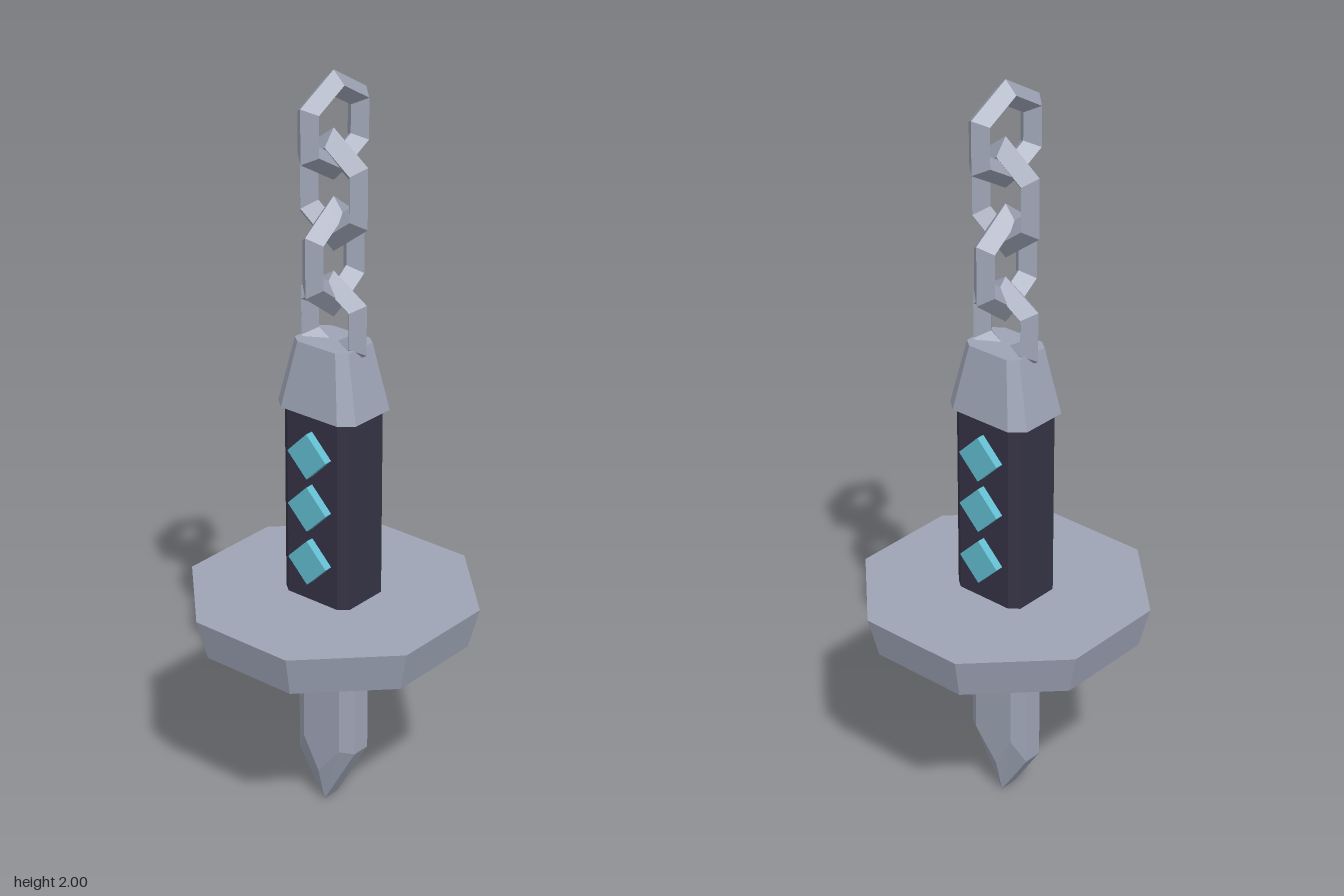
import * as THREE from 'three';

const steel = new THREE.MeshStandardMaterial({ color: 0x9ea4b6 });
steel.name = 'steel';
const grip = new THREE.MeshStandardMaterial({ color: 0x353345 });
grip.name = 'dark grip';
const gemBlue = new THREE.MeshStandardMaterial({ color: 0x62bdd0 });
gemBlue.name = 'turquoise gem';

// Faceted normals for the low-poly look
function faceted(geometry) {
  const g = geometry.index ? geometry.toNonIndexed() : geometry;
  g.computeVertexNormals();
  return g;
}

// Closed solid through convex counter-clockwise rings [z, [[x, y], ...]], stacked along +z
function loft(rings) {
  const n = rings[0][1].length;
  const position = rings.flatMap(([z, pts]) => pts.flatMap(([x, y]) => [x, y, z]));
  const index = [];
  for (let r = 0; r < rings.length - 1; r++) {
    for (let i = 0; i < n; i++) {
      const a = r * n + i, b = r * n + (i + 1) % n;
      index.push(a, b, b + n, a, b + n, a + n);
    }
  }
  const last = (rings.length - 1) * n;
  for (let i = 1; i < n - 1; i++) {
    index.push(0, i + 1, i, last, last + i, last + i + 1);
  }
  const g = new THREE.BufferGeometry();
  g.setAttribute('position', new THREE.Float32BufferAttribute(position, 3));
  g.setIndex(index);
  return g;
}

// Rectangle with cut corners, half sizes w and d, cuts cx and cy
const cutRect = (w, d, cx, cy) => [
  [w, -d + cy], [w, d - cy], [w - cx, d], [-w + cx, d],
  [-w, d - cy], [-w, -d + cy], [-w + cx, -d], [w - cx, -d],
];

export function createModel() {
  const model = new THREE.Group();
  model.name = 'dagger';

  function add(name, geometry, material, x = 0, y = 0, z = 0) {
    const mesh = new THREE.Mesh(faceted(geometry), material);
    mesh.name = name;
    mesh.position.set(x, y, z);
    model.add(mesh);
    return mesh;
  }

  // Blade: flat faces with bevelled edges and a slightly off-centre tip
  const edge = [[-0.01, 0], [0.093, 0.18], [0.093, 0.53], [-0.095, 0.53], [-0.095, 0.13]];
  const face = [[-0.01, 0.1], [0.06, 0.185], [0.06, 0.465], [-0.06, 0.465], [-0.06, 0.19]];
  add('blade', loft([[-0.05, face], [-0.026, edge], [0.026, edge], [0.05, face]]), steel);

  // Octagonal guard, narrower below
  const guard = new THREE.CylinderGeometry(0.386, 0.357, 0.11, 8).rotateY(Math.PI / 8);
  add('guard', guard, steel, 0, 0.575, 0);

  // Handle and tapered pommel
  const handleRing = cutRect(0.105, 0.083, 0.025, 0.02);
  add('handle', loft([[0.62, handleRing], [1.16, handleRing]]).rotateX(-Math.PI / 2), grip);
  add('pommel', loft([
    [1.145, cutRect(0.125, 0.095, 0.035, 0.03)],
    [1.32, cutRect(0.085, 0.066, 0.025, 0.02)],
  ]).rotateX(-Math.PI / 2), steel);

  // Diamond gems on both faces of the handle
  for (const side of [1, -1]) {
    for (const y of [0.745, 0.895, 1.04]) {
      const gem = new THREE.BoxGeometry(0.087, 0.087, 0.03).rotateZ(Math.PI / 4);
      add('gem', gem, gemBlue, 0, y, side * 0.09);
    }
  }

  // Chain of six-sided links: [centre height, half width, half height, quarter turned]
  const links = [
    [1.37, 0.104, 0.13, false],
    [1.535, 0.105, 0.155, true],
    [1.705, 0.105, 0.155, false],
    [1.865, 0.12, 0.135, true],
  ];
  for (const [y, halfWidth, halfHeight, turned] of links) {
    const outer = halfWidth / Math.cos(Math.PI / 6);
    const link = new THREE.TorusGeometry(outer - 0.033, 0.033, 4, 6)
      .rotateZ(Math.PI / 2)
      .scale(1, halfHeight / outer, 1);
    if (turned) link.rotateY(Math.PI / 2);
    add('chainLink', link, steel, 0, y, 0);
  }

  return model;
}
